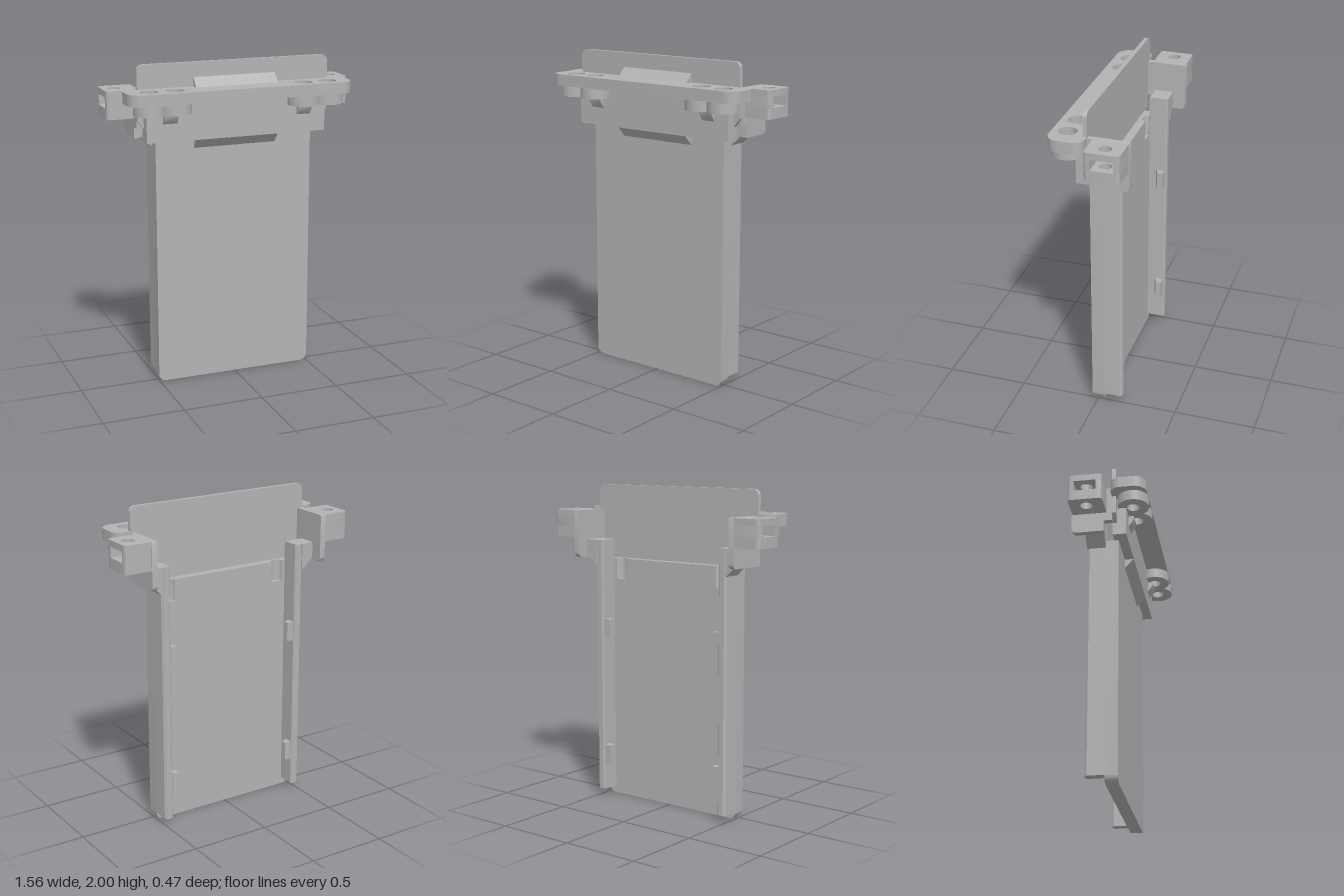
import * as THREE from 'three';
import { toCreasedNormals } from 'three/addons/utils/BufferGeometryUtils.js';

const grey = new THREE.MeshStandardMaterial({ color: 0xb3b3b3 });
grey.name = 'plain grey';

const poly = (pts) => new THREE.Shape(pts.map(([a, b]) => new THREE.Vector2(a, b)));

// rectangle with a radius per corner: lower left, lower right, upper right, upper left
function roundRect(x0, y0, x1, y1, [a, b, c, d]) {
  const s = new THREE.Shape();
  const H = Math.PI / 2;
  const corner = (x, y, r, start) => (r ? s.absarc(x, y, r, start, start + H, false) : s.lineTo(x, y));
  s.moveTo(x0 + a, y0);
  corner(x1 - b, y0 + b, b, -H);
  corner(x1 - c, y1 - c, c, 0);
  corner(x0 + d, y1 - d, d, H);
  corner(x0 + a, y0 + a, a, 2 * H);
  return s;
}

function circle(x, y, r) {
  const p = new THREE.Path();
  p.absarc(x, y, r, 0, Math.PI * 2, true);
  return p;
}

export function createModel() {
  const model = new THREE.Group();
  model.name = 'cardHolder';

  const add = (name, geo, parent = model) => {
    const mesh = new THREE.Mesh(geo, grey);
    mesh.name = name;
    parent.add(mesh);
    return mesh;
  };
  const extrude = (shape, depth) => toCreasedNormals(
    new THREE.ExtrudeGeometry(shape, { depth, bevelEnabled: false, curveSegments: 12 }), 0.6);
  // outlines in (x, y), (x, -z) and (z, y), pulled along z, y and x
  const alongZ = (shape, z0, z1) => extrude(shape, z1 - z0).translate(0, 0, z0);
  const alongY = (shape, y0, y1) => extrude(shape, y1 - y0).rotateX(-Math.PI / 2).translate(0, y0, 0);
  const alongX = (shape, x0, x1) => extrude(shape, x1 - x0).rotateY(-Math.PI / 2).translate(x1, 0, 0);
  const box = (x0, x1, y0, y1, z0, z1) => new THREE.BoxGeometry(x1 - x0, y1 - y0, z1 - z0)
    .translate((x0 + x1) / 2, (y0 + y1) / 2, (z0 + z1) / 2);

  // long front plate; its top band has two half-round grooves at the back
  add('plate', alongZ(roundRect(-0.505, 0, 0.505, 1.41, [0.045, 0.045, 0, 0]), -0.042, 0.035));
  const band = new THREE.Shape();
  band.moveTo(-0.505, -0.035);
  band.lineTo(0.505, -0.035);
  band.lineTo(0.505, 0.042);
  for (const x of [0.39, -0.39]) {
    band.lineTo(x + 0.04, 0.042);
    band.absarc(x, 0.05, 0.041, -0.2, -Math.PI + 0.2, true);
    band.lineTo(x - 0.04, 0.042);
  }
  band.lineTo(-0.505, 0.042);
  add('groovedPlateTop', alongY(band, 1.41, 1.54));

  // thin upright sheet with rounded top and chamfered lower corners
  const sheet = roundRect(-0.613, 1.67, 0.613, 2, [0, 0, 0.04, 0.04]);
  add('backSheet', alongZ(sheet, 0.01, 0.035));
  add('backSheetFoot', alongZ(poly([[-0.575, 1.54], [0.575, 1.54], [0.575, 1.62],
    [0.613, 1.67], [-0.613, 1.67], [-0.575, 1.62]]), 0.01, 0.035));

  // collar and its sloped ribs above and below
  add('collar', box(-0.575, 0.575, 1.54, 1.79, 0.03, 0.092));
  add('lowerRib', alongX(poly([[0.03, 1.475], [0.035, 1.48], [0.092, 1.54], [0.03, 1.54]]), -0.263, 0.263));
  add('upperRib', alongX(poly([[0.03, 1.85], [0.092, 1.85], [0.035, 1.91], [0.03, 1.91]]), -0.263, 0.263));

  // mounting bar with four screw holes
  const bar = roundRect(-0.71, -0.228, 0.71, -0.01, [0.08, 0.08, 0.06, 0.06]);
  for (const x of [-0.57, -0.41, 0.41, 0.57]) bar.holes.push(circle(x, -0.135, 0.054));
  add('mountingBar', alongY(bar, 1.785, 1.855));

  for (const [side, s] of [['left', 1], ['right', -1]]) {
    const g = new THREE.Group();
    g.name = side + 'Side';
    model.add(g);
    const mir = (pts) => poly(pts.map(([x, y]) => [s * x, y]));
    const span = (a, b) => (s > 0 ? [a, b] : [-b, -a]);

    // two joined bosses below the bar
    const boss = new THREE.Shape();
    const half = Math.acos(0.08 / 0.096);
    boss.absarc(s * 0.49 + 0.08, -0.135, 0.096, -Math.PI + half, Math.PI - half, false);
    boss.absarc(s * 0.49 - 0.08, -0.135, 0.096, half, Math.PI * 2 - half, false);
    for (const x of [0.41, 0.57]) boss.holes.push(circle(s * x, -0.135, 0.038));
    add('screwBosses', alongY(boss, 1.72, 1.785), g);
    add('bossGusset', alongX(poly([[0.085, 1.645], [0.092, 1.65], [0.125, 1.70],
      [0.125, 1.72], [0.085, 1.72]]), ...span(0.385, 0.475)), g);

    // side rail with chamfered back edges
    add('rail', alongY(mir([[0.45, 0.04], [0.505, 0.04], [0.505, 0.143], [0.493, 0.157],
      [0.458, 0.157], [0.45, 0.148]]), 0.045, 1.66), g);

    // retaining clips on the inner face of the rail
    for (const y of [0.28, 1.1]) {
      add('clip', alongY(mir([[0.455, 0.085], [0.425, 0.105], [0.405, 0.108],
        [0.405, 0.145], [0.455, 0.145]]), y - 0.06, y + 0.06), g);
    }

    // block joining the rail to the ear wall, sloped underneath
    add('railBridge', alongZ(mir([[0.5, 1.495], [0.505, 1.495], [0.58, 1.565],
      [0.58, 1.66], [0.5, 1.66]]), -0.157, -0.042), g);

    // wall running back from the sheet
    add('earWall', alongX(roundRect(-0.235, 1.55, -0.04, 1.845, [0.03, 0, 0, 0.01]), ...span(0.577, 0.613)), g);
    add('earWallNeck', alongX(poly([[-0.042, 1.62], [0.012, 1.62], [0.012, 1.845],
      [-0.042, 1.845]]), ...span(0.577, 0.613)), g);

    // ear with a vertical hole and a nut slot open to the outside
    const corners = s > 0 ? [0, 0.022, 0.022, 0] : [0.022, 0, 0, 0.022];
    const [e0, e1] = span(0.58, 0.782);
    for (const [y0, y1] of [[1.675, 1.74], [1.805, 1.845]]) {
      const slab = roundRect(e0, 0.022, e1, 0.23, corners);
      slab.holes.push(circle(s * 0.705, 0.128, 0.037));
      add('earSlab', alongY(slab, y0, y1), g);
    }
    add('earNutSlot', alongY(mir([[0.58, 0.022], [0.762, 0.022], [0.776, 0.028], [0.782, 0.042],
      [0.782, 0.06], [0.668, 0.06], [0.628, 0.128], [0.668, 0.195], [0.782, 0.195],
      [0.782, 0.21], [0.776, 0.224], [0.762, 0.23], [0.58, 0.23]]), 1.74, 1.805), g);
  }
  return model;
}
